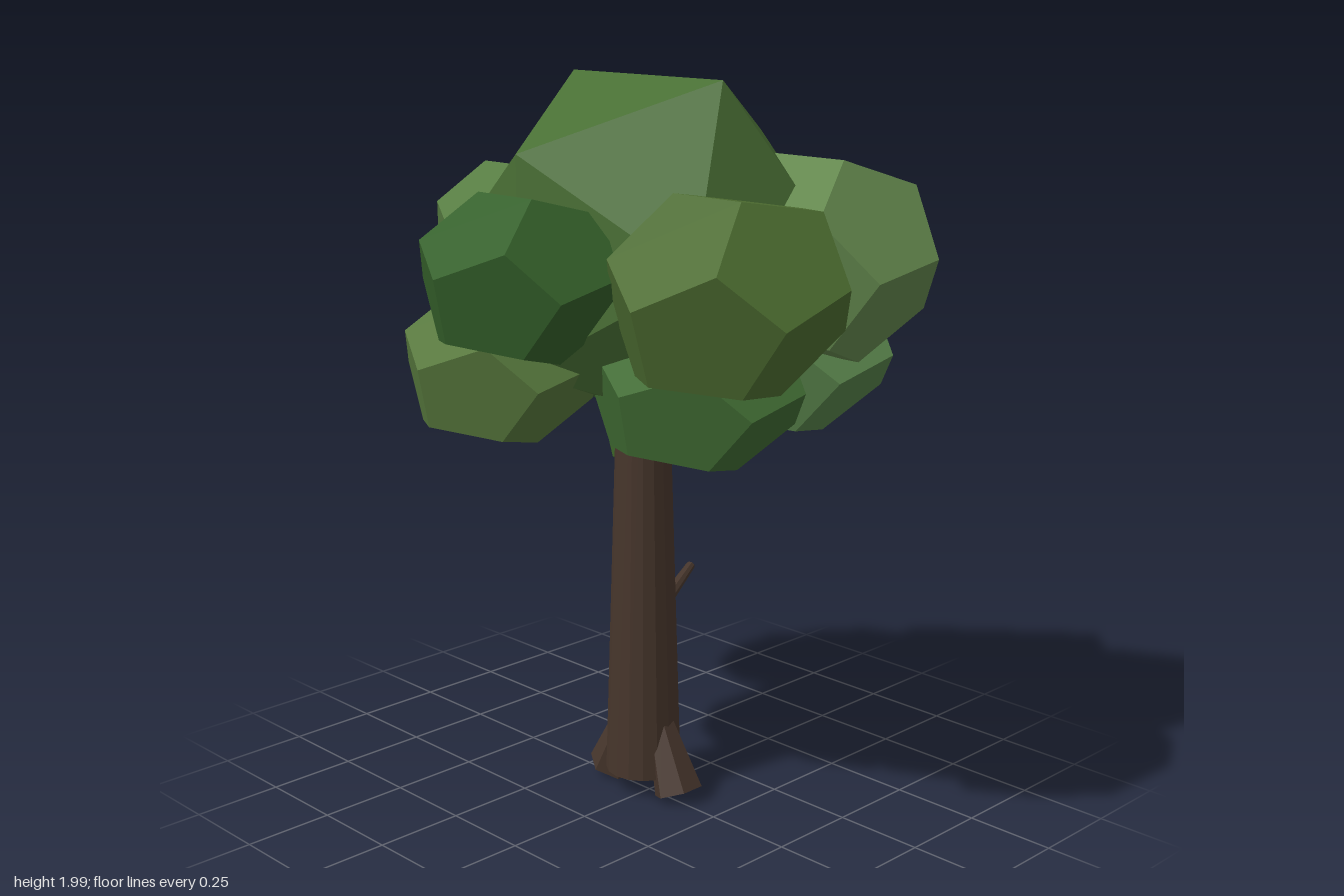
import * as THREE from 'three';

const paint = (color) => new THREE.MeshStandardMaterial({ color, flatShading: true });

// Tapered limb running from point a to point b
function limb(name, a, b, rA, rB, sides, material) {
  const from = new THREE.Vector3(...a), to = new THREE.Vector3(...b);
  const dir = to.clone().sub(from);
  const mesh = new THREE.Mesh(new THREE.CylinderGeometry(rB, rA, dir.length(), sides), material);
  mesh.name = name;
  mesh.position.copy(from).add(to).multiplyScalar(0.5);
  mesh.quaternion.setFromUnitVectors(new THREE.Vector3(0, 1, 0), dir.normalize());
  return mesh;
}

// Faceted leaf clump, squashed and tilted
function clump(name, pos, scale, tilt, color) {
  const mesh = new THREE.Mesh(new THREE.DodecahedronGeometry(1), paint(color));
  mesh.name = name;
  mesh.position.set(...pos);
  mesh.scale.set(...scale);
  mesh.rotation.x = tilt;
  return mesh;
}

export function createModel() {
  const tree = new THREE.Group();
  tree.name = 'tree';
  const bark = paint(0x46352b);

  // Trunk, roots and branches
  tree.add(limb('trunk', [-0.035, 0.07, -0.01], [-0.035, 1.4, -0.01], 0.105, 0.065, 16, bark));
  tree.add(limb('rightRoot', [-0.165, 0.035, -0.015], [-0.085, 0.24, -0.015], 0.07, 0.035, 6, bark));
  tree.add(limb('leftRoot', [0.1, 0.035, -0.015], [0.02, 0.24, -0.015], 0.07, 0.035, 6, bark));
  tree.add(limb('bareBranch', [-0.05, 0.47, -0.03], [-0.13, 0.58, -0.295], 0.024, 0.013, 8, bark));
  tree.add(limb('leafyBranch', [-0.06, 0.83, -0.03], [-0.22, 0.965, -0.165], 0.026, 0.016, 8, bark));

  // Large central crown
  const crown = new THREE.Mesh(new THREE.IcosahedronGeometry(0.523), paint(0x4a7035));
  crown.name = 'crown';
  crown.position.set(-0.035, 1.555, -0.02);
  tree.add(crown);

  // Leaf clumps around the crown
  const clumps = [
    ['upperLeftClump', [0.46, 1.515, 0.19], [0.31, 0.27, 0.33], 0.3, 0x4c6c30],
    ['upperFrontClump', [0, 1.53, 0.45], [0.28, 0.228, 0.275], 0.2, 0x34602a],
    ['lowerFrontClump', [-0.19, 1.27, 0.36], [0.28, 0.218, 0.275], 0.2, 0x56773c],
    ['lowerLeftClump', [0.25, 1.23, 0.08], [0.305, 0.218, 0.28], 0.2, 0x3f6a32],
    ['upperRightClump', [-0.46, 1.525, 0.06], [0.26, 0.24, 0.245], 0.15, 0x557b3f],
    ['lowerRightClump', [-0.52, 1.25, -0.04], [0.245, 0.235, 0.225], 0.15, 0x58793a],
    ['upperBackClump', [0.31, 1.53, -0.31], [0.33, 0.29, 0.335], 0.15, 0x62864c],
    ['lowerBackClump', [0.11, 1.23, -0.41], [0.32, 0.225, 0.315], 0.2, 0x568049],
    ['rearRightClump', [-0.2, 1.4, -0.2], [0.27, 0.2, 0.265], 0.2, 0x4c7440],
    ['twigClump', [-0.23, 0.97, -0.17], [0.09, 0.095, 0.085], 0.15, 0x3f6a2a],
  ];
  for (const c of clumps) tree.add(clump(...c));
  return tree;
}
